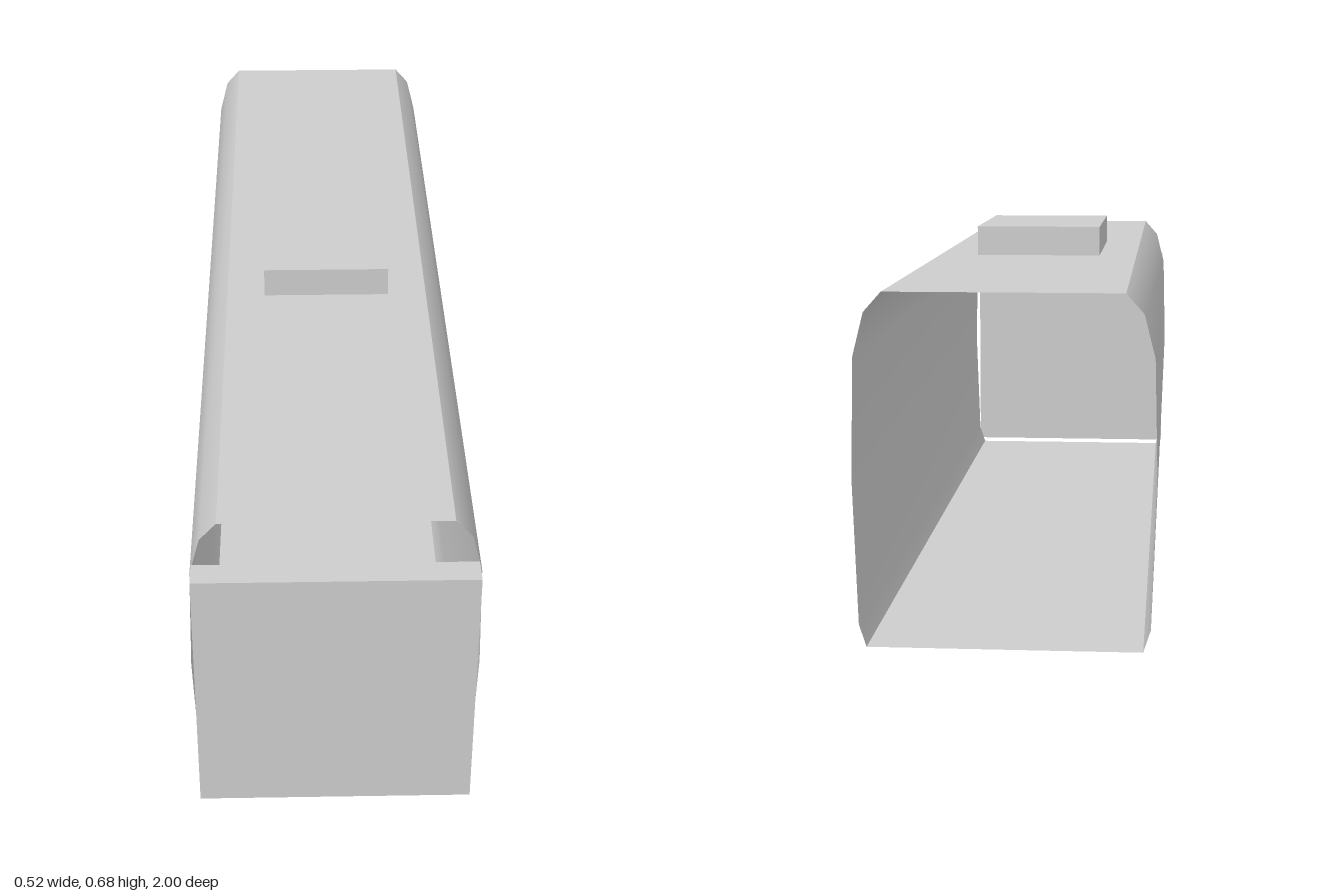
import * as THREE from 'three';

// Upright half of the tube's cross-section (x, y), bottom corner to top corner
const PROFILE = [[0.24, 0], [0.253, 0.04], [0.262, 0.3], [0.257, 0.51], [0.238, 0.585], [0.207, 0.62]];
const FRONT = 0.95, BACK = -1;

// Smooth strip swept along z through a list of section points, facing right of the path
function sweep(points) {
  const positions = [], index = [];
  points.forEach(([x, y], i) => {
    positions.push(x, y, FRONT, x, y, BACK);
    if (i > 0) {
      const a = 2 * (i - 1);
      index.push(a, a + 1, a + 2, a + 1, a + 3, a + 2);
    }
  });
  const geometry = new THREE.BufferGeometry();
  geometry.setAttribute('position', new THREE.Float32BufferAttribute(positions, 3));
  geometry.setIndex(index);
  geometry.computeVertexNormals();
  return geometry;
}

export function createModel() {
  const grey = new THREE.MeshStandardMaterial({ color: 0xcccccc, side: THREE.DoubleSide });
  grey.name = 'light grey';
  const model = new THREE.Group();
  model.name = 'openTube';

  const add = (name, geometry, x = 0, y = 0, z = 0) => {
    const mesh = new THREE.Mesh(geometry, grey);
    mesh.name = name;
    mesh.position.set(x, y, z);
    model.add(mesh);
  };

  // Thin shell, open at both ends: curved walls, flat roof and floor
  const mirrored = PROFILE.map(([x, y]) => [-x, y]).reverse();
  const last = PROFILE.length - 1;
  add('leftWall', sweep(PROFILE));
  add('roof', sweep([PROFILE[last], mirrored[0]]));
  add('rightWall', sweep(mirrored));
  add('floor', sweep([mirrored[last], PROFILE[0]]));

  // Slab standing at the front end, and the block on the roof
  add('frontPanel', new THREE.BoxGeometry(0.506, 0.52, 0.05), -0.001, 0.27, 0.975);
  add('roofBlock', new THREE.BoxGeometry(0.257, 0.06, 0.4), -0.001, 0.65, -0.025);

  return model;
}
